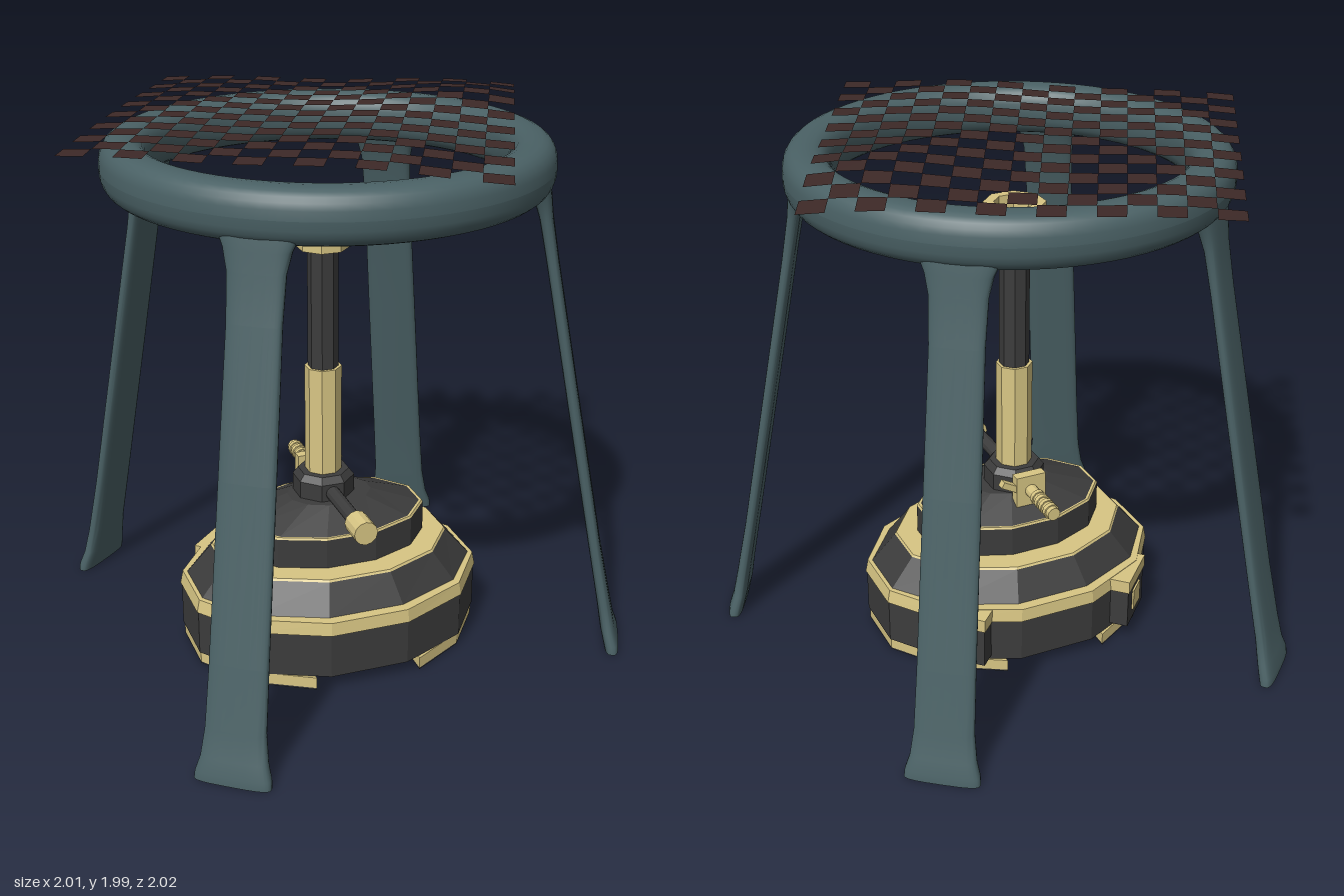
import * as THREE from 'three';
import { toCreasedNormals } from 'three/addons/utils/BufferGeometryUtils.js';

const flat = (color) => new THREE.MeshStandardMaterial({ color, flatShading: true });
const TEAL = new THREE.MeshStandardMaterial({ color: 0x4a6165 });
const DARK = flat(0x3c3c3c);
const BRASS = flat(0xd8c684);
const GAUZE = new THREE.MeshStandardMaterial({ color: 0x3d2927, side: THREE.DoubleSide });

function add(parent, name, geometry, material, x = 0, y = 0, z = 0) {
  const mesh = new THREE.Mesh(geometry, material);
  mesh.name = name;
  mesh.position.set(x, y, z);
  parent.add(mesh);
  return mesh;
}

// Closed solid through stacked rings of [x, y, z] points, capped at both ends
function loft(rings) {
  const n = rings[0].length;
  const middle = (ring) => {
    const c = [0, 1, 2].map((k) => ring.reduce((s, p) => s + p[k], 0) / n);
    return ring.map(() => c);
  };
  const all = [middle(rings[0]), ...rings, middle(rings[rings.length - 1])];
  const index = [];
  for (let r = 0; r < all.length - 1; r++) {
    for (let i = 0; i < n; i++) {
      const j = (i + 1) % n;
      const p = r * n + i, p1 = r * n + j, q = p + n, q1 = p1 + n;
      if (r > 0) index.push(p, q, p1);
      if (r < all.length - 2) index.push(p1, q, q1);
      else index.push(p, q, p1);
      if (r === 0) index.push(p, q, q1, p, q1, p1);
    }
  }
  const g = new THREE.BufferGeometry();
  g.setAttribute('position', new THREE.Float32BufferAttribute(all.flat(2), 3));
  g.setIndex(index);
  g.computeVertexNormals();
  return g;
}

// Twelve-sided oval ring with flats on its left and right
function oval(hx, hz, y) {
  return Array.from({ length: 12 }, (_, i) => {
    const a = ((i + 0.5) / 12) * Math.PI * 2, k = 1 / Math.cos(Math.PI / 12);
    return [hx * k * Math.cos(a), y, hz * k * Math.sin(a)];
  });
}

const squash = (v, e) => Math.sign(v) * Math.pow(Math.abs(v), e);

function createStand() {
  const stand = new THREE.Group();
  stand.name = 'stand';
  stand.position.set(-0.05, 0, 0.04);

  // Thick rounded ring
  const profile = [];
  for (let i = 0; i <= 24; i++) {
    const a = (i / 24) * Math.PI * 2;
    profile.push(new THREE.Vector2(0.705 + 0.085 * squash(Math.cos(a), 0.8), 1.837 + 0.095 * squash(Math.sin(a), 0.8)));
  }
  add(stand, 'ring', new THREE.LatheGeometry(profile, 72), TEAL);

  // Flat splayed legs: height, radius, width, thickness
  const stations = [
    [0, 1.085, 0.27, 0.055], [0.03, 1.08, 0.265, 0.06], [0.08, 1.065, 0.235, 0.055], [0.18, 1.045, 0.212, 0.05],
    [0.4, 1.0, 0.205, 0.045], [1.0, 0.885, 0.195, 0.045], [1.5, 0.79, 0.185, 0.045],
    [1.66, 0.76, 0.195, 0.05], [1.73, 0.745, 0.225, 0.065], [1.78, 0.73, 0.27, 0.08],
  ];
  const rings = stations.map(([y, r, w, t]) => Array.from({ length: 28 }, (_, i) => {
    const a = (i / 28) * Math.PI * 2;
    return [r + (t / 2) * squash(Math.cos(a), 0.6), y, (w / 2) * squash(Math.sin(a), 0.6)];
  }));
  const legGeometry = toCreasedNormals(loft(rings), 0.8);
  for (const degrees of [26.5, -53, -132, 126.5]) {
    add(stand, 'leg', legGeometry, TEAL).rotation.y = THREE.MathUtils.degToRad(-degrees);
  }
  return stand;
}

// Checkered gauze: alternate cells of a slightly buckled sheet
function createGauze() {
  const N = 15, A = [-0.33, -0.96], B = [0.81, -0.38], C = [0.21, 0.86], D = [-0.95, 0.12];
  const point = (i, j) => {
    const u = (i - 0.5) / (N - 1), v = (j - 0.5) / (N - 1);
    const [x, z] = [0, 1].map((k) =>
      (1 - v) * ((1 - u) * A[k] + u * B[k]) + v * ((1 - u) * D[k] + u * C[k]));
    const r2 = x * x + z * z;
    const y = 1.943 + 0.03 * Math.max(0, 1 - r2) + 0.006 * Math.sin(6 * x + 4 * z)
      + 0.028 * Math.exp(-((x - 0.6) ** 2 + (z + 0.15) ** 2) * 14);
    return [x, y, z];
  };
  const positions = [];
  for (let i = 0; i < N; i++) {
    for (let j = 0; j < N; j++) {
      if ((i + j) % 2) continue;
      const a = point(i, j), b = point(i + 1, j), c = point(i + 1, j + 1), d = point(i, j + 1);
      positions.push(a, d, b, b, d, c);
    }
  }
  const g = new THREE.BufferGeometry();
  g.setAttribute('position', new THREE.Float32BufferAttribute(positions.flat(), 3));
  g.computeVertexNormals();
  return g;
}

function createBurner() {
  const burner = new THREE.Group();
  burner.name = 'burner';

  // Stepped oval base: name, material, lower [hx, hz, y], upper [hx, hz, y]
  const base = new THREE.Group();
  base.name = 'base';
  base.position.set(-0.055, 0, 0.06);
  burner.add(base);
  for (const [name, material, lower, upper] of [
    ['lowerBody', DARK, [0.55, 0.44, 0.05], [0.55, 0.44, 0.22]],
    ['lowerBand', BRASS, [0.555, 0.445, 0.22], [0.545, 0.44, 0.27]],
    ['slope', DARK, [0.53, 0.4, 0.27], [0.44, 0.335, 0.375]],
    ['slopeRim', BRASS, [0.44, 0.335, 0.375], [0.435, 0.33, 0.383]],
    ['upperBody', DARK, [0.355, 0.245, 0.383], [0.355, 0.245, 0.495]],
    ['upperRim', BRASS, [0.355, 0.245, 0.495], [0.35, 0.242, 0.503]],
    ['crown', DARK, [0.34, 0.235, 0.503], [0.155, 0.12, 0.57]],
  ]) add(base, name, loft([oval(...lower), oval(...upper)]), material);

  // Feet: end slices of the oval, with dark soles
  const slice = (y) => oval(0.545, 0.43, y).map(([x, h, z]) => [Math.max(x, 0.2), h, z]);
  for (const turn of [0, Math.PI]) {
    add(base, 'foot', loft([slice(0.008), slice(0.05)]), BRASS).rotation.y = turn;
    add(base, 'footSole', loft([slice(0.002), slice(0.008)]), DARK).rotation.y = turn;
  }

  // Corner blocks at the back with small brass plates
  for (const degrees of [45, 135]) {
    const block = new THREE.Group();
    block.name = 'cornerBlock';
    block.rotation.y = THREE.MathUtils.degToRad(degrees);
    base.add(block);
    add(block, 'blockBody', new THREE.BoxGeometry(0.24, 0.15, 0.2), DARK, 0.405, 0.14, 0);
    add(block, 'blockTop', new THREE.BoxGeometry(0.24, 0.05, 0.21), BRASS, 0.41, 0.243, 0);
    add(block, 'blockPlate', new THREE.BoxGeometry(0.01, 0.085, 0.085), BRASS, 0.527, 0.15, 0);
  }

  // Upright tube with hub, sleeve and hollow cap
  const column = new THREE.Group();
  column.name = 'column';
  column.position.set(-0.07, 0, 0.04);
  burner.add(column);
  const turned = (points) => new THREE.LatheGeometry(points.map(([r, y]) => new THREE.Vector2(r, y)), 8, Math.PI / 8);
  add(column, 'hub', turned([[0.115, 0.5], [0.115, 0.635], [0.095, 0.66], [0, 0.66]]), DARK);
  add(column, 'sleeve', turned([[0.068, 0.65], [0.068, 1.07], [0, 1.07]]), BRASS);
  add(column, 'tube', turned([[0.056, 1.06], [0.056, 1.53]]), DARK);
  add(column, 'cap', turned([[0, 1.52], [0.095, 1.52], [0.095, 1.58], [0.113, 1.58], [0.113, 1.7], [0.075, 1.7], [0.075, 1.59]]), BRASS);
  add(column, 'capThroat', new THREE.CylinderGeometry(0.08, 0.08, 0.01, 8), DARK, 0, 1.59, 0);

  // Horizontal pipes: radius and z range
  const pipe = (name, material, r, z0, z1, sides = 12) => {
    add(column, name, new THREE.CylinderGeometry(r, r, z1 - z0, sides), material, 0, 0.6, (z0 + z1) / 2).rotation.x = Math.PI / 2;
  };
  pipe('airPipe', DARK, 0.027, 0.08, 0.36);
  pipe('airKnob', BRASS, 0.044, 0.35, 0.45);
  pipe('gasInlet', BRASS, 0.025, -0.35, -0.08);
  for (let i = 0; i < 4; i++) pipe('inletRidge', BRASS, 0.03, -0.33 + i * 0.035, -0.312 + i * 0.035);
  add(column, 'valvePlate', new THREE.BoxGeometry(0.12, 0.13, 0.04), BRASS, 0, 0.597, -0.135);
  add(column, 'valveBracket', new THREE.BoxGeometry(0.08, 0.025, 0.08), BRASS, 0, 0.53, -0.11);
  add(column, 'valveLever', new THREE.BoxGeometry(0.1, 0.025, 0.03), BRASS, 0.07, 0.62, -0.135).rotation.z = 0.5;
  return burner;
}

export function createModel() {
  const model = new THREE.Group();
  model.name = 'burnerAndStand';
  model.add(createStand(), createBurner());
  add(model, 'gauze', createGauze(), GAUZE);
  return model;
}
